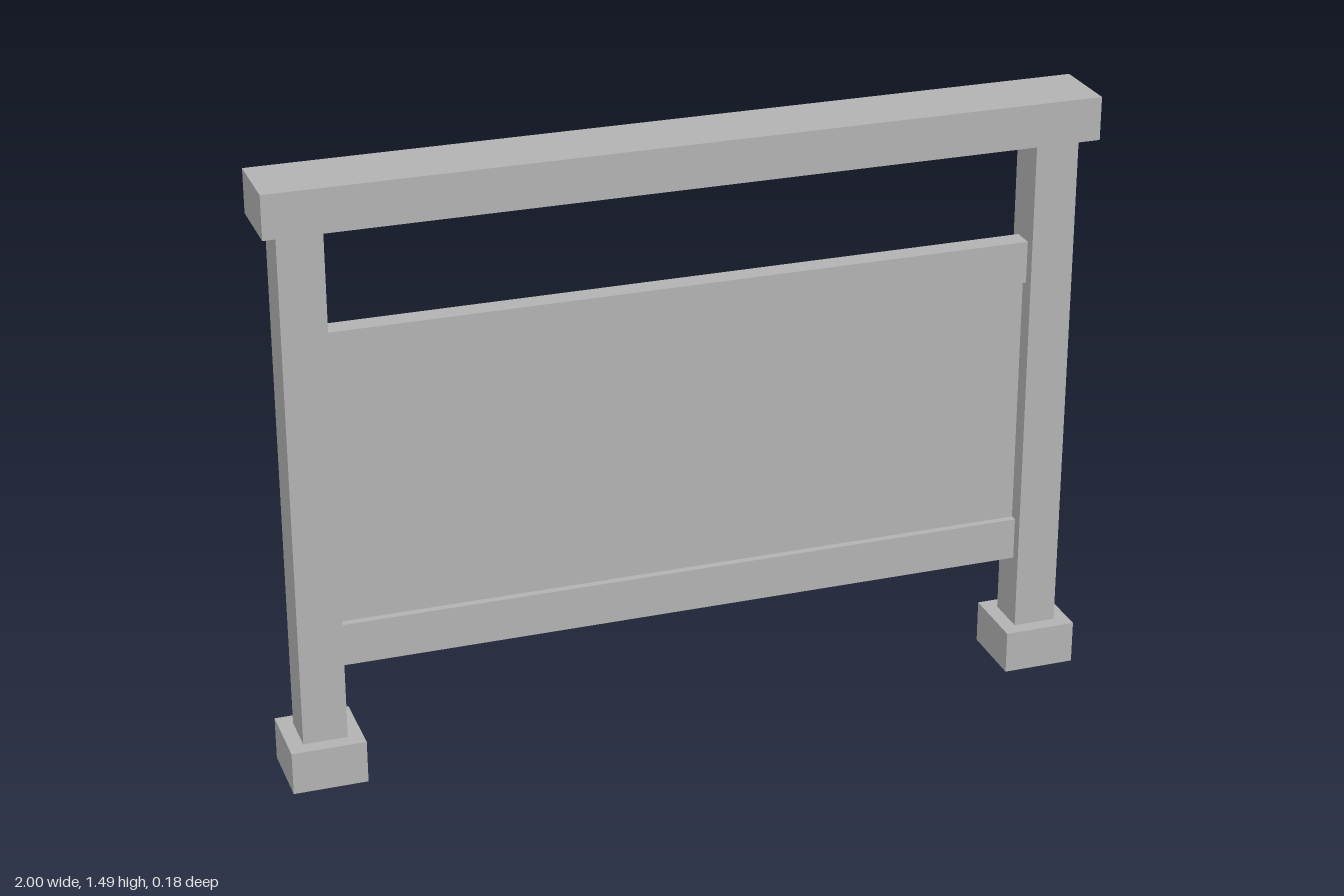
import * as THREE from 'three';

export function createModel() {
  const group = new THREE.Group();
  const grey = new THREE.MeshStandardMaterial({ color: 0xb2b2b2 });
  grey.name = 'grey';

  // Box centred on z = 0, spanning y0 to y1
  function box(name, width, y0, y1, depth, x = 0) {
    const mesh = new THREE.Mesh(new THREE.BoxGeometry(width, y1 - y0, depth), grey);
    mesh.name = name;
    mesh.position.set(x, (y0 + y1) / 2, 0);
    group.add(mesh);
  }

  // Handrail across the top
  box('handrail', 2, 1.388, 1.494, 0.18);

  // Posts with square feet
  for (const [side, s] of [['left', 1], ['right', -1]]) {
    box(side + 'Post', 0.107, 0.107, 1.388, 0.107, s * 0.91);
    box(side + 'Foot', 0.18, 0, 0.107, 0.18, s * 0.91);
  }

  // Cross rails holding the thin infill panel
  box('lowerRail', 1.714, 0.284, 0.39, 0.054);
  box('upperRail', 1.714, 1.022, 1.127, 0.054);
  box('infillPanel', 1.714, 0.39, 1.022, 0.018);

  return group;
}
